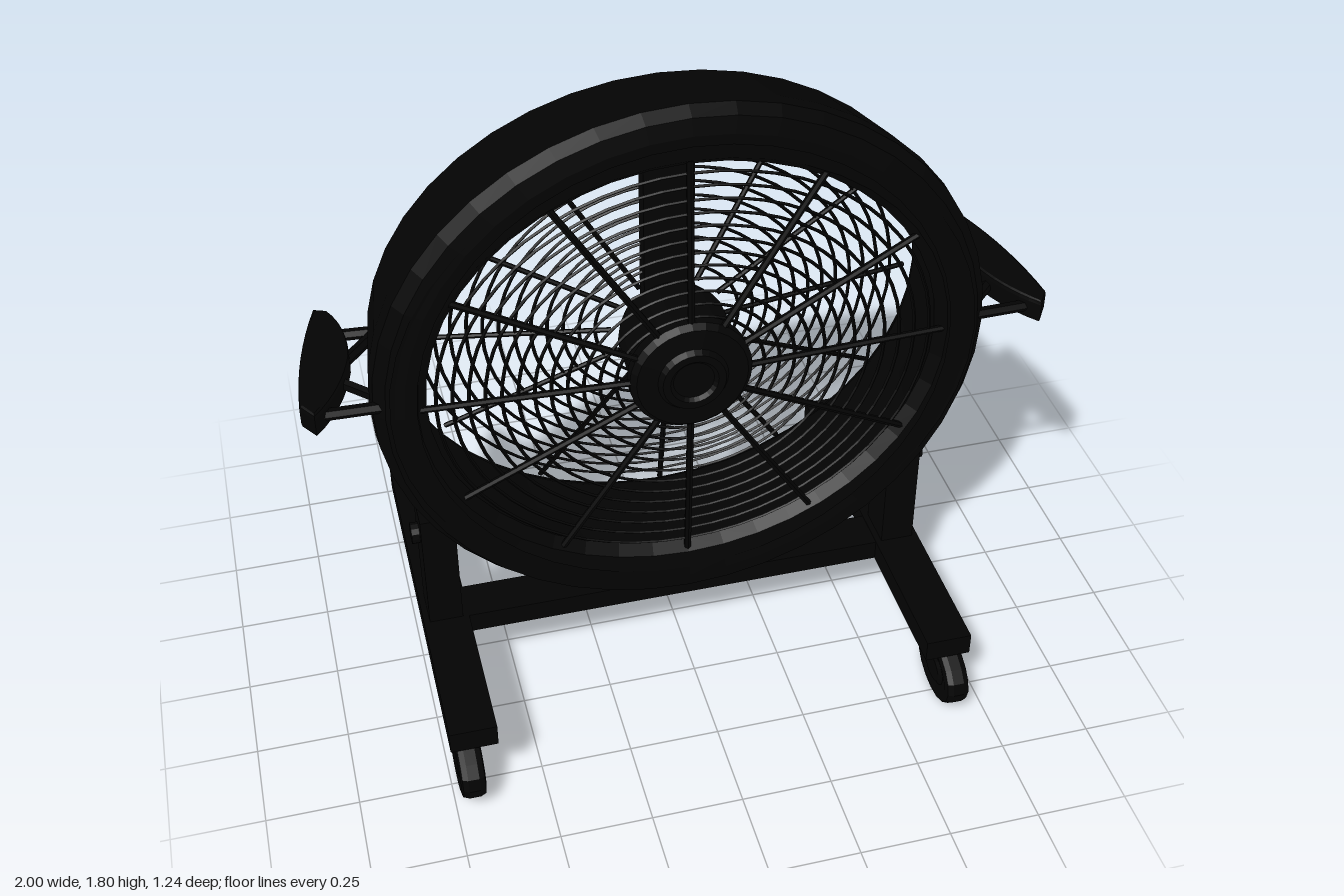
import * as THREE from 'three';

const CY = 1.03; // height of the fan axis
const mat = new THREE.MeshStandardMaterial({ color: 0x030303, flatShading: true, side: THREE.DoubleSide });

function add(parent, name, geo, x = 0, y = 0, z = 0) {
  const m = new THREE.Mesh(geo, mat);
  m.name = name;
  m.position.set(x, y, z);
  parent.add(m);
  return m;
}

// Box given by its minimum and maximum corners
function block(parent, name, a, b) {
  return add(parent, name, new THREE.BoxGeometry(b[0] - a[0], b[1] - a[1], b[2] - a[2]),
    (a[0] + b[0]) / 2, (a[1] + b[1]) / 2, (a[2] + b[2]) / 2);
}

// Straight rod between two points
function rod(parent, name, a, b, r, sides = 6) {
  const p = new THREE.Vector3(...a), q = new THREE.Vector3(...b), d = q.clone().sub(p);
  const m = add(parent, name, new THREE.CylinderGeometry(r, r, d.length(), sides));
  m.position.copy(p).lerp(q, 0.5);
  m.quaternion.setFromUnitVectors(new THREE.Vector3(0, 1, 0), d.normalize());
  return m;
}

// Solid of revolution about the z axis from [radius, z] pairs
function turned(parent, name, pts, sides) {
  const g = new THREE.LatheGeometry(pts.map(p => new THREE.Vector2(...p)), sides);
  return add(parent, name, g.rotateX(Math.PI / 2));
}

// Turned shell widened in x by a factor that changes from the front rim to the back rim
function ovalShell(parent, name, pts, front, back) {
  const pos = turned(parent, name, pts, 44).geometry.attributes.position;
  for (let i = 0; i < pos.count; i++)
    pos.setX(i, pos.getX(i) * THREE.MathUtils.mapLinear(pos.getZ(i), 0.19, -0.17, front, back));
}

// Wire guard, wider than tall: concentric rings and radial spokes on a shallow dome
function grille(parent, name, zRim, zHub, spokes, spokeRadius) {
  const g = new THREE.Group();
  g.name = name;
  g.scale.x = 1.12;
  const r0 = 0.14, r1 = 0.63, rings = 13;
  for (let i = 1; i < rings; i++) {
    const t = i / rings;
    add(g, 'guardRing', new THREE.TorusGeometry(r0 + (r1 - r0) * t, 0.0045, 4, 56),
      0, 0, zHub + (zRim - zHub) * t);
  }
  for (let i = 0; i < spokes; i++) {
    const a = -Math.PI / 2 + i * 2 * Math.PI / spokes, c = Math.cos(a), s = Math.sin(a);
    rod(g, 'guardSpoke', [c * r0, s * r0, zHub], [c * r1, s * r1, zRim], spokeRadius);
  }
  parent.add(g);
}

export function createModel() {
  const model = new THREE.Group();
  model.name = 'drumFan';

  // Fan head
  const head = new THREE.Group();
  head.name = 'fanHead';
  head.position.y = CY;
  model.add(head);

  // Drum: tapers to the back in height, but hardly in width; the opening is a wider oval
  ovalShell(head, 'drum', [[0.68, 0.192], [0.71, 0.195], [0.755, 0.185], [0.775, 0.15], [0.77, 0.10],
    [0.70, -0.15], [0.685, -0.17], [0.65, -0.17]], 1.05, 1.14);
  ovalShell(head, 'drumLiner', [[0.7, 0.192], [0.635, 0.18], [0.61, 0.15], [0.64, 0], [0.645, -0.15],
    [0.655, -0.17]], 1.12, 1.14);
  grille(head, 'frontGuard', 0.165, 0.19, 12, 0.009);
  grille(head, 'backGuard', -0.15, -0.05, 12, 0.007);

  // Short motor hub and the flat bracket that hangs it from the drum
  turned(head, 'frontHub', [[0, 0.22], [0.055, 0.22], [0.065, 0.23], [0.085, 0.23], [0.095, 0.215],
    [0.15, 0.21], [0.165, 0.195], [0.165, 0.165], [0.15, 0.15]], 28);
  turned(head, 'motor', [[0.15, 0.16], [0.15, 0.0], [0.135, -0.04], [0.09, -0.06], [0, -0.07]], 24);
  block(head, 'motorBracket', [-0.068, 0, -0.085], [0.068, 0.66, -0.035]);

  // Side handles: crescent grip in plan, with struts back to the drum
  for (const s of [1, -1]) {
    const handle = new THREE.Group();
    handle.name = s > 0 ? 'leftHandle' : 'rightHandle';
    handle.scale.x = s;
    model.add(handle);
    const grip = new THREE.Shape();
    grip.moveTo(0.925, -0.25);
    grip.quadraticCurveTo(0.99, -0.06, 1.0, 0.15);
    grip.lineTo(0.975, 0.19);
    grip.quadraticCurveTo(0.9, 0.1, 0.87, -0.03);
    grip.quadraticCurveTo(0.855, -0.16, 0.9, -0.24);
    const g = new THREE.ExtrudeGeometry(grip, {
      depth: 0.045, bevelEnabled: true, bevelSize: 0.008, bevelThickness: 0.012, bevelSegments: 2, curveSegments: 8,
    });
    g.translate(-0.008, 0, 0).rotateX(Math.PI / 2);
    add(handle, 'grip', g, 0, 1.08, 0);
    const struts = [[0.76, -0.165, 0.9, -0.175], [0.77, 0.16, 0.96, 0.155],
      [0.78, -0.15, 0.885, -0.03], [0.78, 0.14, 0.9, 0.02]];
    for (const [x0, z0, x1, z1] of struts)
      rod(handle, 'handleStrut', [x0, 1.055, z0], [x1, 1.055, z1], 0.016);
  }

  // Stand
  const stand = new THREE.Group();
  stand.name = 'stand';
  stand.position.x = -0.018;
  model.add(stand);
  block(stand, 'crossBar', [-0.68, 0.182, 0.0], [0.68, 0.243, 0.12]);
  for (const s of [1, -1]) {
    block(stand, 'runner', [s * 0.666 - 0.064, 0.18, -0.56], [s * 0.666 + 0.064, 0.245, 0.55]);
    block(stand, 'upright', [s * 0.666 - 0.047, 0.24, 0.0], [s * 0.666 + 0.047, 0.61, 0.12]);
    rod(stand, 'pivotKnob', [s * 0.67, 0.53, 0.06], [s * 0.735, 0.53, 0.06], 0.03, 12);

    // Casters: slightly oval wheels with a hub, below the runner ends
    for (const e of [1, -1]) {
      const caster = new THREE.Group();
      caster.name = 'caster';
      caster.position.set(s * 0.682, 0.09, e * 0.495);
      const wheel = turned(caster, 'wheel', [[0, 0.03], [0.035, 0.034], [0.045, 0.026], [0.07, 0.034], [0.085, 0.03],
        [0.09, 0.015], [0.09, -0.015], [0.085, -0.03], [0.07, -0.034], [0.045, -0.026], [0.035, -0.034], [0, -0.03]], 16);
      wheel.rotation.y = Math.PI / 2;
      wheel.scale.x = 1.38;
      block(caster, 'casterMount', [-0.03, 0.05, -0.045], [0.03, 0.1, 0.045]);
      stand.add(caster);
    }
  }
  return model;
}
